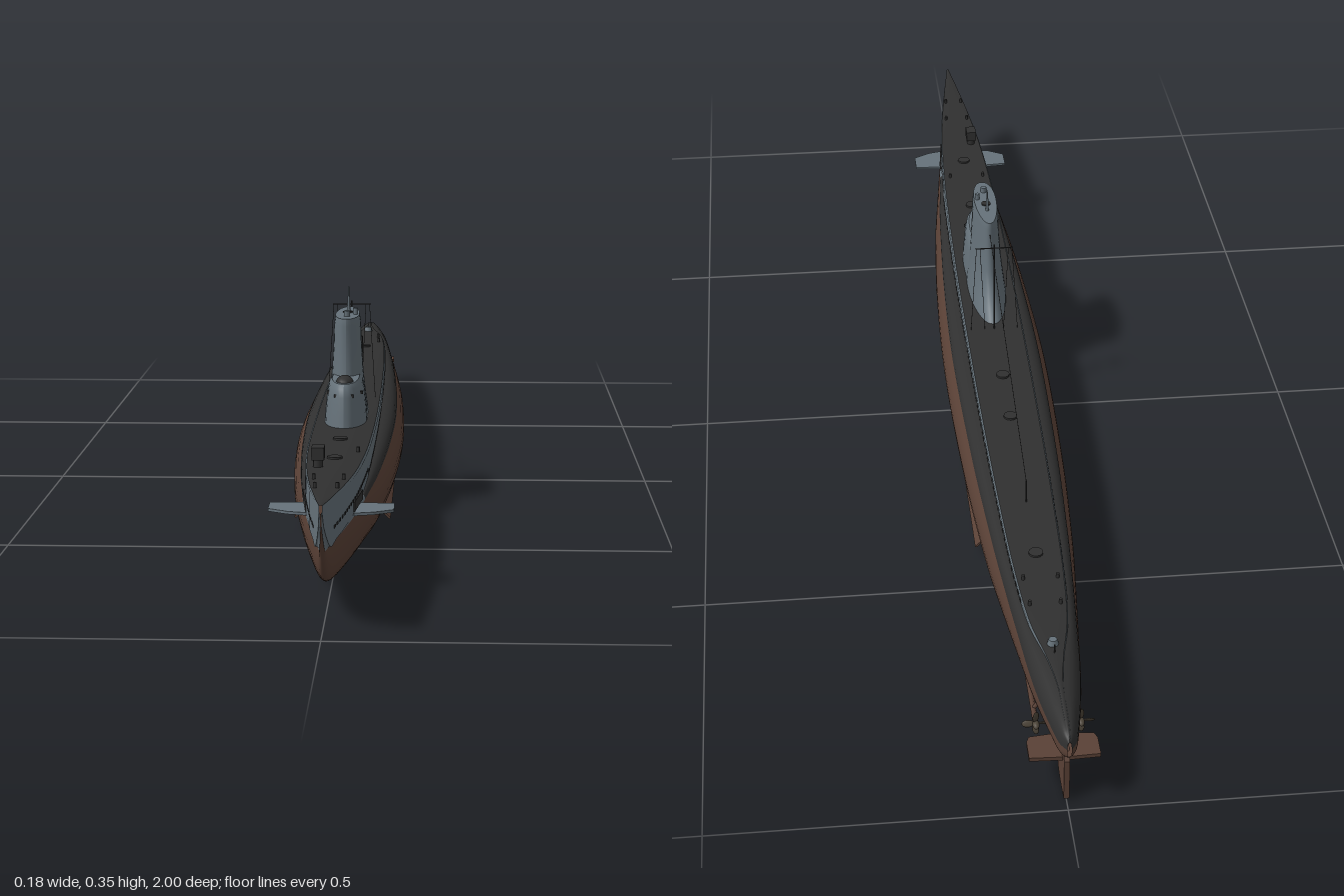
import * as THREE from 'three';
import { mergeGeometries } from 'three/addons/utils/BufferGeometryUtils.js';

const mat = (name, color, side = THREE.FrontSide) => {
  const m = new THREE.MeshStandardMaterial({ color, side });
  m.name = name;
  return m;
};

// Hull stations: z, keel height, height of widest point, half beam, casing half width, casing foot, deck height
const STATIONS = [
  [-1, 0.095, 0.105, 0.003, 0.001, 0.122, 0.122],
  [-0.985, 0.085, 0.1, 0.012, 0.002, 0.13, 0.13],
  [-0.95, 0.078, 0.1, 0.02, 0.003, 0.134, 0.135],
  [-0.9, 0.07, 0.098, 0.029, 0.004, 0.136, 0.138],
  [-0.84, 0.058, 0.094, 0.037, 0.012, 0.135, 0.138],
  [-0.76, 0.044, 0.088, 0.045, 0.028, 0.13, 0.138],
  [-0.65, 0.024, 0.082, 0.056, 0.037, 0.127, 0.138],
  [-0.52, 0.005, 0.077, 0.068, 0.042, 0.126, 0.138],
  [-0.3, 0.003, 0.075, 0.081, 0.047, 0.127, 0.141],
  [0, 0.003, 0.075, 0.088, 0.05, 0.128, 0.147],
  [0.25, 0.003, 0.075, 0.082, 0.05, 0.126, 0.151],
  [0.48, 0.005, 0.077, 0.067, 0.047, 0.122, 0.158],
  [0.6, 0.014, 0.081, 0.054, 0.043, 0.118, 0.162],
  [0.72, 0.024, 0.088, 0.04, 0.036, 0.114, 0.166],
  [0.84, 0.039, 0.096, 0.023, 0.024, 0.112, 0.171],
  [0.9, 0.056, 0.1, 0.013, 0.016, 0.112, 0.174],
  [0.945, 0.088, 0.104, 0.006, 0.01, 0.112, 0.176],
  [0.985, 0.142, 0.144, 0.001, 0.004, 0.144, 0.178],
  [1, 0.168, 0.169, 0.001, 0.002, 0.17, 0.179],
];
const WATERLINE = 0.109;

// Smooth interpolation of the station table
function station(z) {
  const S = STATIONS, n = S.length - 1;
  let i = 0;
  while (i < n - 1 && z > S[i + 1][0]) i++;
  const h = S[i + 1][0] - S[i][0], t = (z - S[i][0]) / h;
  const slope = (k, c) => {
    const a = S[Math.max(k - 1, 0)], b = S[Math.min(k + 1, n)];
    return (b[c] - a[c]) / (b[0] - a[0]);
  };
  const [kb, yc, w, c, ys, deck] = [1, 2, 3, 4, 5, 6].map((col) => {
    const t2 = t * t, t3 = t2 * t;
    return (2 * t3 - 3 * t2 + 1) * S[i][col] + (t3 - 2 * t2 + t) * h * slope(i, col)
      + (3 * t2 - 2 * t3) * S[i + 1][col] + (t3 - t2) * h * slope(i + 1, col);
  });
  const keel = Math.max(kb, 0), yw = Math.max(WATERLINE, keel);
  const mid = Math.min(Math.max(yc, keel), yw);
  const xw = w * Math.sqrt(Math.max(0, 1 - ((yw - mid) / 0.065) ** 2));
  return { z, keel, yw, mid, w, xw, c: Math.max(c, 0.001), ys: Math.max(ys, yw), deck };
}

// Surface through rows of [x, y, z] points
function loft(rows) {
  const m = rows[0].length, index = [];
  for (let i = 0; i < rows.length - 1; i++)
    for (let j = 0; j < m - 1; j++) {
      const a = i * m + j;
      index.push(a, a + 1, a + m, a + 1, a + m + 1, a + m);
    }
  const g = new THREE.BufferGeometry();
  g.setAttribute('position', new THREE.Float32BufferAttribute(rows.flat(2), 3));
  g.setIndex(index);
  g.computeVertexNormals();
  return g;
}
const mirrored = (pts) => pts.map(([x, y, z]) => [-x, y, z]).reverse();

export function createModel() {
  const model = new THREE.Group();
  model.name = 'submarine';
  const grey = mat('casing grey', 0x66727a, THREE.DoubleSide);
  const red = mat('antifouling brown', 0x5a4136, THREE.DoubleSide);
  const black = mat('deck black', 0x303030, THREE.DoubleSide);
  const bronze = mat('propeller bronze', 0x4c4438, THREE.DoubleSide);

  const add = (name, geo, material, x = 0, y = 0, z = 0) => {
    const mesh = new THREE.Mesh(geo, material);
    mesh.name = name;
    mesh.position.set(x, y, z);
    model.add(mesh);
    return mesh;
  };
  const box = (name, m, w, h, d, x, y, z) => add(name, new THREE.BoxGeometry(w, h, d), m, x, y, z);
  const cyl = (name, m, r, h, x, y, z, r2 = r) => add(name, new THREE.CylinderGeometry(r2, r, h, 12), m, x, y, z);
  const rod = (name, m, r, a, b) => add(name, new THREE.TubeGeometry(
    new THREE.LineCurve3(new THREE.Vector3(...a), new THREE.Vector3(...b)), 1, r, 6), m);
  // Flat plate outlined in x and z, lying at height y
  const plate = (name, m, outline, thick, y) => {
    const g = new THREE.ExtrudeGeometry(new THREE.Shape(outline.map(([x, z]) => new THREE.Vector2(x, -z))),
      { depth: thick, bevelEnabled: false });
    return add(name, g.rotateX(-Math.PI / 2), m, 0, y - thick / 2, 0);
  };

  // Hull strips: bottom, shoulders, casing sides, deck
  const N = 120, sec = Array.from({ length: N + 1 }, (_, i) => station(-Math.cos((i / N) * Math.PI)));
  const bottom = (s) => {
    const pts = [];
    for (let k = 0; k <= 10; k++) {
      const a = (k / 10) * Math.PI / 2;
      pts.push([s.w * Math.sin(a), s.mid - (s.mid - s.keel) * Math.cos(a), s.z]);
    }
    for (let k = 1; k <= 4; k++) {
      const y = s.mid + (s.yw - s.mid) * k / 4;
      pts.push([s.w * Math.sqrt(Math.max(0, 1 - ((y - s.mid) / 0.065) ** 2)), y, s.z]);
    }
    return [...mirrored(pts.slice(1)), ...pts];
  };
  const shoulder = (s) => [0, 1, 2, 3, 4, 5, 6].map((k) => {
    const a = (k / 6) * Math.PI / 2;
    return [s.c + (s.xw - s.c) * Math.cos(a), s.yw + (s.ys - s.yw) * Math.sin(a), s.z];
  });
  const side = (s) => [[s.c, s.ys, s.z], [s.c, s.deck - 0.004, s.z], [s.c * 0.95, s.deck - 0.001, s.z]];
  const deck = (s) => [1, 0.5, 0, -0.5, -1].map((k) => [s.c * 0.95 * k, s.deck - 0.001 * k * k, s.z]);
  add('lowerHull', loft(sec.map(bottom)), red);
  add('deck', loft(sec.map(deck)), black);
  // Forward shoulders blend into the grey bow
  const aft = sec.filter((s) => s.z < 0.66), fore = sec.slice(aft.length - 1);
  for (const flip of [(p) => p, mirrored]) {
    add('hullShoulder', loft(aft.map((s) => flip(shoulder(s)))), black);
    add('bowShoulder', loft(fore.map((s) => flip(shoulder(s)))), grey);
    add('casingSide', loft(sec.map((s) => flip(side(s)))), grey);
  }
  box('keel', red, 0.02, 0.012, 1.0, 0, 0.006, -0.01);

  // Rows of drain slots along the casing
  const slots = [];
  for (let z = -0.7; z < 0.93; z += 0.019) {
    const s = station(z), yaw = Math.atan2(station(z + 0.01).c - s.c, 0.01);
    for (const sx of [-1, 1]) {
      const g = new THREE.BoxGeometry(0.0016, 0.004, 0.009);
      g.rotateY(sx * yaw).translate(sx * s.c, Math.max(s.ys + 0.004, z > 0.55 ? 0.132 : 0), z);
      slots.push(g);
    }
  }
  add('drainSlots', mergeGeometries(slots), black);

  // Conning tower from horizontal rings: y, aft end, fore end, half width
  const ring = ([y, zb, zf, hw]) => Array.from({ length: 41 }, (_, j) => {
    const a = (j / 40) * Math.PI * 2, s = Math.sin(a), c = Math.cos(a);
    return [hw * Math.sign(s) * Math.abs(s) ** 0.9 * (1 + 0.15 * c), y, (zb + zf) / 2 + (zf - zb) / 2 * c];
  });
  const tower = (name, rings) => {
    const top = rings[rings.length - 1], mid = (top[1] + top[2]) / 2;
    add(name, loft(rings.map(ring)), grey);
    add(name + 'Top', loft([ring(top), ring([top[0], mid, mid, 0])]), grey);
  };
  tower('conningTower', [[0.14, 0.03, 0.27, 0.034], [0.165, 0.06, 0.26, 0.031], [0.19, 0.082, 0.253, 0.028],
    [0.22, 0.094, 0.25, 0.025], [0.27, 0.1, 0.248, 0.022], [0.3, 0.098, 0.251, 0.021], [0.312, 0.1, 0.25, 0.019]]);
  tower('bridge', [[0.14, 0.1, 0.346, 0.034], [0.17, 0.11, 0.342, 0.032], [0.2, 0.12, 0.338, 0.029],
    [0.213, 0.13, 0.334, 0.026], [0.22, 0.15, 0.326, 0.021]]);
  add('bridgeScreen', new THREE.SphereGeometry(0.014, 16, 8, 0, Math.PI * 2, 0, Math.PI / 2), black, 0, 0.218, 0.295)
    .scale.set(1, 0.8, 1.6);
  for (const a of [-0.9, -0.35, 0.35, 0.9])
    box('bridgeWindow', black, 0.008, 0.005, 0.004, 0.031 * Math.sin(a), 0.202, 0.228 + 0.108 * Math.cos(a)).rotation.y = a;

  // Periscopes and masts on the tower
  cyl('attackPeriscope', grey, 0.003, 0.03, 0, 0.32, 0.147, 0.002);
  cyl('whipMast', grey, 0.001, 0.02, 0, 0.341, 0.147);
  cyl('searchPeriscope', grey, 0.004, 0.016, 0.013, 0.314, 0.19);
  cyl('snorkelHead', grey, 0.005, 0.012, 0, 0.315, 0.215);
  cyl('towerHatch', black, 0.008, 0.002, 0, 0.313, 0.17);

  // Aerial mast, spreader and wires
  rod('aerialMast', black, 0.0017, [0, 0.145, 0.025], [0, 0.312, 0.025]);
  rod('aerialSpreader', black, 0.001, [-0.032, 0.306, 0.025], [0.032, 0.306, 0.025]);
  for (const s of [-1, 1]) {
    rod('aerialStay', black, 0.0005, [0.03 * s, 0.306, 0.025], [0.04 * s, 0.147, 0.025]);
    rod('aerialStay', black, 0.0005, [0.024 * s, 0.306, 0.025], [0.016 * s, 0.147, 0.025]);
  }
  rod('aerialWire', black, 0.0005, [0, 0.29, 0.1], [0, 0.176, -0.47]);
  rod('aerialPost', black, 0.0012, [0, 0.136, -0.47], [0, 0.178, -0.47]);

  // Deck fittings
  cyl('sonarPedestal', black, 0.007, 0.014, -0.02, 0.17, 0.69);
  box('sonarHead', black, 0.018, 0.018, 0.026, -0.02, 0.185, 0.69);
  for (const z of [0.62, 0.45, -0.12, -0.24, -0.6])
    cyl('deckHatch', black, 0.011, 0.004, 0, station(z).deck + 0.001, z);
  for (const z of [0.86, 0.79, 0.56, -0.66, -0.72])
    for (const s of [-1, 1]) cyl('bollard', black, 0.0025, 0.008, s * station(z).c * 0.7, station(z).deck + 0.003, z);
  cyl('sternBuoy', grey, 0.009, 0.01, 0, 0.141, -0.81, 0.006);
  rod('sternPost', black, 0.001, [0, 0.135, -0.83], [0, 0.152, -0.83]);

  // Paired fins, shafts and propellers
  const blade = new THREE.SphereGeometry(1, 10, 8).scale(0.0055, 0.009, 0.0012).translate(0, 0.011, 0).rotateY(0.5);
  const blades = [0, 1, 2, 3].map((k) => blade.clone().rotateZ(k * Math.PI / 2));
  for (const s of [-1, 1]) {
    plate('bowPlane', grey, [[0.03 * s, 0.69], [0.088 * s, 0.695], [0.088 * s, 0.735], [0.06 * s, 0.752], [0.03 * s, 0.76]], 0.004, 0.112);
    box('planeRecess', black, 0.003, 0.014, 0.08, s * 0.037, 0.123, 0.72).rotation.y = -s * 0.1;
    plate('sternPlane', red, [[0, -0.91], [0.046 * s, -0.915], [0.05 * s, -0.925], [0.05 * s, -0.958], [0, -0.96]], 0.006, 0.058);
    box('bilgeKeel', red, 0.022, 0.003, 0.8, s * 0.066, 0.027, -0.02).rotation.z = -s * 0.8;
    rod('propellerShaft', red, 0.004, [s * 0.03, 0.047, -0.6], [s * 0.032, 0.056, -0.885]);
    rod('shaftStrut', red, 0.003, [s * 0.032, 0.055, -0.85], [s * 0.012, 0.085, -0.85]);
    add('propellerBlades', mergeGeometries(blades), bronze, s * 0.032, 0.056, -0.882);
    add('propellerHub', new THREE.SphereGeometry(0.005, 12, 8), bronze, s * 0.032, 0.056, -0.885).scale.z = 1.8;
  }

  // Rudder, outlined in z and y
  const outline = [[-0.925, 0.09], [-0.925, 0.055], [-0.9, 0.035], [-0.915, 0.008], [-0.935, 0.002], [-0.98, 0.003], [-0.98, 0.07], [-0.965, 0.09]];
  const rudder = new THREE.ExtrudeGeometry(new THREE.Shape(outline.map(([z, y]) => new THREE.Vector2(-z, y))),
    { depth: 0.008, bevelEnabled: false });
  add('rudder', rudder.rotateY(Math.PI / 2), red, -0.004, 0, 0);
  return model;
}
